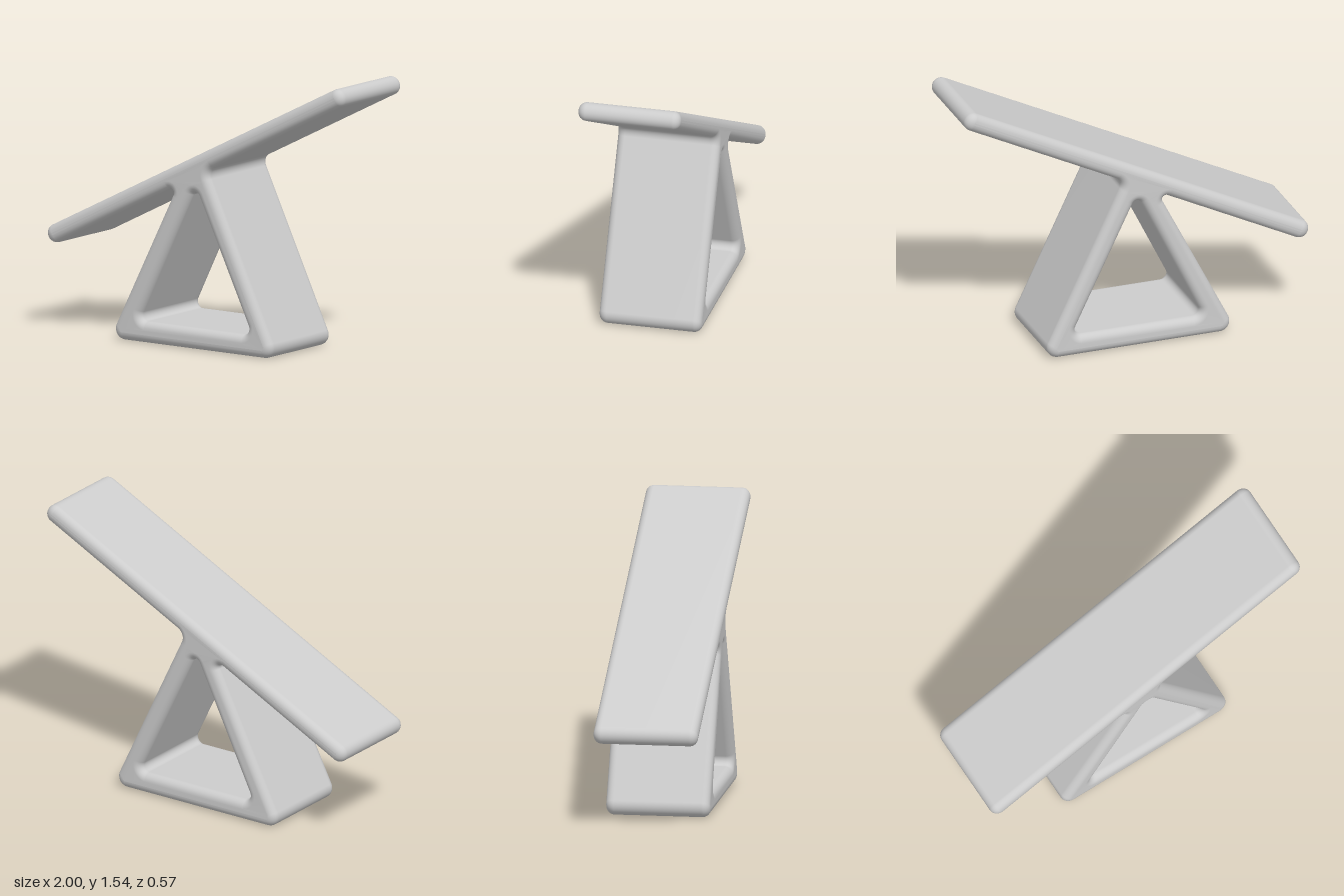
import * as THREE from 'three';
import { mergeVertices } from 'three/addons/utils/BufferGeometryUtils.js';

const HALF_WIDTH = 0.287;  // half of the depth along z
const EDGE = 0.045;        // rounding of the long edges

// Polygon whose corners [x, y, radius] are replaced by tangent arcs
function roundedPath(path, corners) {
  const n = corners.length;
  corners.forEach(([x, y, r], i) => {
    const p = new THREE.Vector2(x, y);
    const toward = ([qx, qy]) => new THREE.Vector2(qx, qy).sub(p).normalize();
    const a = toward(corners[(i + n - 1) % n]);
    const b = toward(corners[(i + 1) % n]);
    const half = Math.acos(a.dot(b)) / 2;
    const centre = a.clone().add(b).normalize().multiplyScalar(r / Math.sin(half)).add(p);
    const start = a.clone().multiplyScalar(r / Math.tan(half)).add(p).sub(centre);
    const end = b.clone().multiplyScalar(r / Math.tan(half)).add(p).sub(centre);
    path.absarc(centre.x, centre.y, r, start.angle(), end.angle(), start.cross(end) < 0);
  });
  path.closePath();
  return path;
}

export function createModel() {
  const group = new THREE.Group();
  const grey = new THREE.MeshStandardMaterial({ color: 0xcccccc });
  grey.name = 'light grey';

  // Corner of the tilted plank: distance along it, and height across it
  const tilt = Math.atan(0.5), c = Math.cos(tilt), s = Math.sin(tilt);
  const plank = (along, across) =>
    [along * c - across * s, 1.015 + along * s + across * c, 0.0505];
  const L = 0.95 / c + 0.0515, T = 0.0515;

  // Outline of plank and triangular stand, counterclockwise
  const outline = roundedPath(new THREE.Shape(), [
    [-0.58, 0, 0.06],
    [0.555, 0, 0.06],
    [0.076, 0.996, 0.05],
    plank(L, -T),
    plank(L, T),
    plank(-L, T),
    plank(-L, -T),
    [-0.124, 0.896, 0.02],
  ]);

  // Triangular opening
  outline.holes.push(roundedPath(new THREE.Path(), [
    [-0.385, 0.118, 0.035],
    [0, 0.9, 0.026],
    [0.38, 0.118, 0.035],
  ]));

  const depth = 2 * (HALF_WIDTH - EDGE);
  let body = new THREE.ExtrudeGeometry(outline, {
    depth,
    curveSegments: 10,
    bevelEnabled: true,
    bevelThickness: EDGE,
    bevelSize: EDGE,
    bevelOffset: -EDGE,
    bevelSegments: 6,
  });
  body.translate(0, 0, -depth / 2);

  // Weld everything so the soft edges shade smoothly
  body.deleteAttribute('uv');
  body.deleteAttribute('normal');
  body.clearGroups();
  body = mergeVertices(body, 1e-5);
  body.computeVertexNormals();

  const mesh = new THREE.Mesh(body, grey);
  mesh.name = 'plankAndTriangularStand';
  group.add(mesh);
  return group;
}
